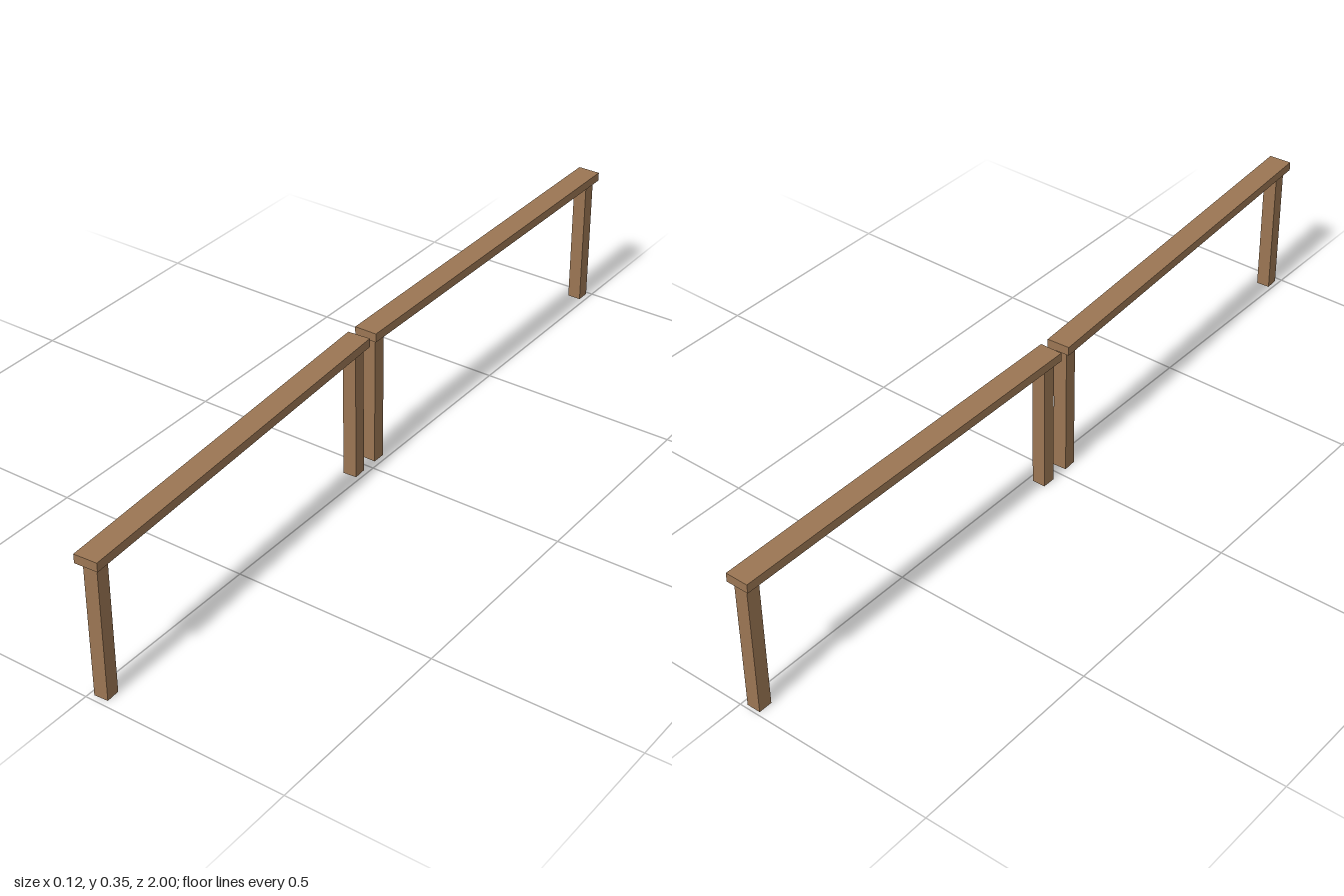
import * as THREE from 'three';

const BEAM = { width: 0.057, height: 0.022, length: 0.987 };
const LEG = { size: 0.034, height: 0.333, spacing: 0.933 };

export function createModel() {
  const wood = new THREE.MeshStandardMaterial({ color: 0x9b7653 });
  wood.name = 'brown wood';

  const beamGeometry = new THREE.BoxGeometry(BEAM.width, BEAM.height, BEAM.length);
  const legGeometry = new THREE.BoxGeometry(LEG.size, LEG.height, LEG.size);

  // One rail section: a flat beam on a square leg near each end
  function railSection(name, x, z, turn) {
    const section = new THREE.Group();
    section.name = name;

    const beam = new THREE.Mesh(beamGeometry, wood);
    beam.name = 'beam';
    beam.position.y = LEG.height + BEAM.height / 2;
    section.add(beam);

    for (const [legName, side] of [['frontLeg', 1], ['backLeg', -1]]) {
      const leg = new THREE.Mesh(legGeometry, wood);
      leg.name = legName;
      leg.position.set(0, LEG.height / 2, side * LEG.spacing / 2 - 0.002);
      section.add(leg);
    }

    section.position.set(x, 0, z);
    section.rotation.y = turn;
    return section;
  }

  const model = new THREE.Group();
  model.name = 'lowRail';
  model.add(railSection('backSection', -0.030, -0.5065, 0));
  // The front section veers slightly to the left
  model.add(railSection('frontSection', -0.0005, 0.505, 0.0595));
  return model;
}
